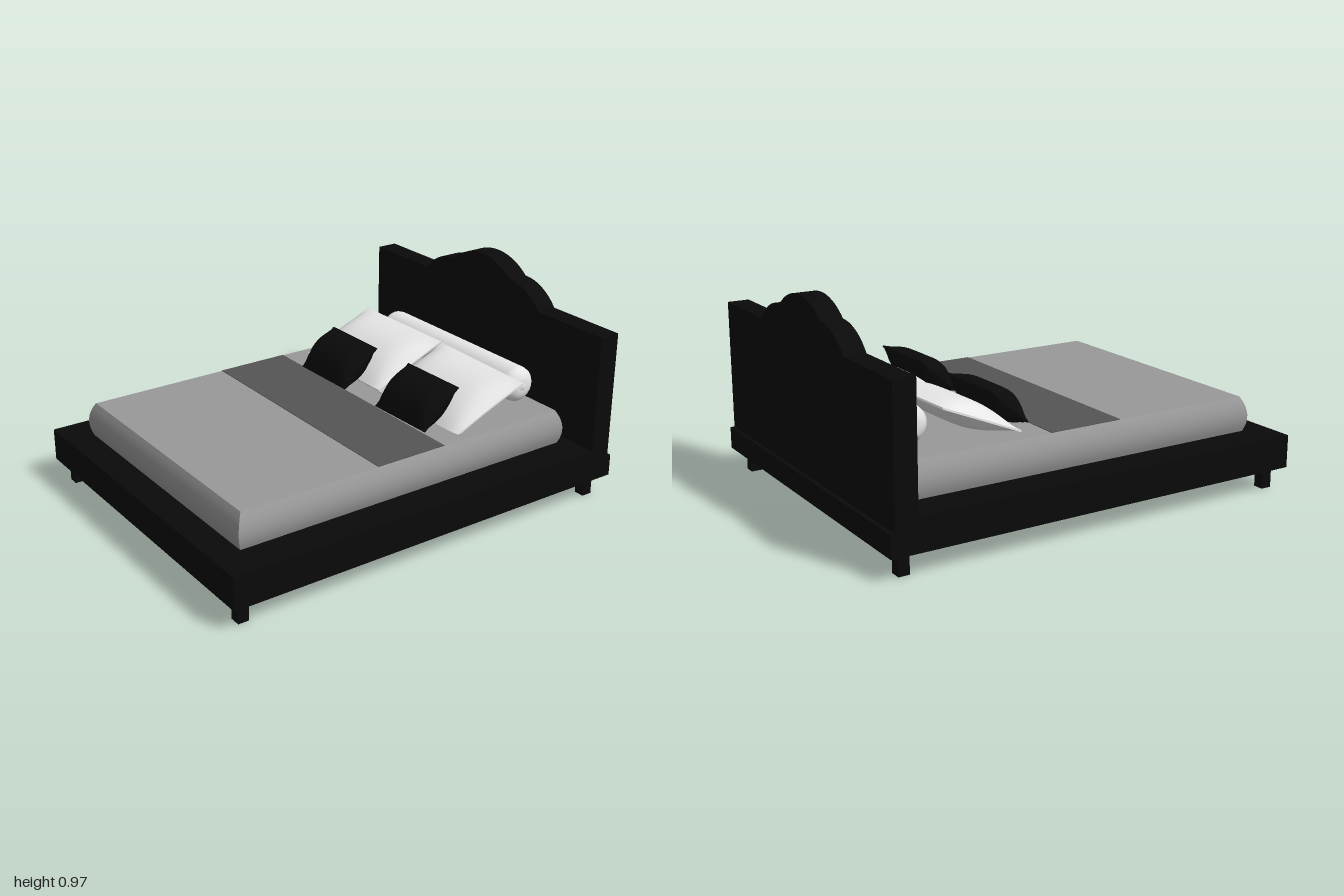
import * as THREE from 'three';

export function createModel() {
  const model = new THREE.Group();
  model.name = 'bed';
  const material = (name, color) => {
    const m = new THREE.MeshStandardMaterial({ color });
    m.name = name;
    return m;
  };
  const black = material('black wood', 0x0a0a0a);
  const grey = material('mattress grey', 0x999999);
  const darkGrey = material('throw grey', 0x555555);
  const white = material('pillow white', 0xe6e6e6);

  const add = (name, geometry, mat, x = 0, y = 0, z = 0) => {
    const mesh = new THREE.Mesh(geometry, mat);
    mesh.name = name;
    mesh.position.set(x, y, z);
    model.add(mesh);
    return mesh;
  };
  const box = (w, h, d) => new THREE.BoxGeometry(w, h, d);

  // Bed frame: full base with a raised deck that stops at the headboard
  add('frameBase', box(1.6, 0.1, 2), black, 0, 0.15, 0);
  add('frameDeck', box(1.6, 0.05, 1.88), black, 0, 0.225, 0.06);
  for (const x of [-0.725, 0.725])
    for (const z of [-0.92, 0.93]) add('leg', box(0.05, 0.1, 0.05), black, x, 0.05, z);

  // Headboard with three scalloped arcs
  const outline = new THREE.Shape();
  const sideAngle = Math.atan2(0.15, 0.2);
  const topAngle = Math.acos(0.2 / 0.304);
  outline.moveTo(-0.8, 0.2);
  outline.lineTo(0.8, 0.2);
  outline.lineTo(0.8, 0.795);
  outline.lineTo(0.4, 0.795);
  outline.absarc(0.2, 0.645, 0.25, sideAngle, Math.PI / 2, false);
  outline.absarc(0, 0.666, 0.304, topAngle, Math.PI - topAngle, false);
  outline.absarc(-0.2, 0.645, 0.25, Math.PI / 2, Math.PI - sideAngle, false);
  outline.lineTo(-0.8, 0.795);
  add('headboard', new THREE.ExtrudeGeometry(outline,
    { depth: 0.1, bevelEnabled: false, curveSegments: 16 }), black, 0, 0, -0.98);

  // Mattress: box with bulging sides and mitred corners
  const mattress = new THREE.BoxGeometry(1.31, 0.16, 1.715, 1, 8, 1);
  const mp = mattress.attributes.position;
  for (let i = 0; i < mp.count; i++) {
    const t = mp.getY(i) / 0.16 + 0.5;
    const inset = 0.028 * ((t - 0.42) / 0.58) ** 2;
    mp.setX(i, mp.getX(i) - Math.sign(mp.getX(i)) * inset);
    mp.setZ(i, mp.getZ(i) - Math.sign(mp.getZ(i)) * inset);
  }
  mattress.computeVertexNormals();
  add('mattress', mattress, grey, 0, 0.33, 0.0275);
  add('throwBlanket', box(1.254, 0.005, 0.35), darkGrey, 0, 0.41, 0.015);

  // Bolster with domed ends and a button on each
  const half = [[0, 0.492], [0.014, 0.492], [0.016, 0.486], [0.022, 0.49],
    [0.045, 0.485], [0.066, 0.473], [0.079, 0.457], [0.083, 0.435]];
  const profile = [...half.map(([r, y]) => [r, -y]), ...half.slice().reverse()]
    .map(([r, y]) => new THREE.Vector2(r, y));
  const bolster = add('bolster', new THREE.LatheGeometry(profile, 32), white, 0.002, 0.494, -0.727);
  bolster.rotation.z = Math.PI / 2;

  // Lens-shaped pillow with a thin seam, leaning back
  const pillow = (name, mat, [w, d, thick, power], [x, y, z], [lean, yaw, roll]) => {
    const g = new THREE.BoxGeometry(w, 2, d, 24, 1, 16);
    const p = g.attributes.position;
    for (let i = 0; i < p.count; i++) {
      const u = p.getX(i) * 2 / w, v = p.getZ(i) * 2 / d;
      const puff = thick * (1 - Math.abs(u) ** power) * (1 - v * v);
      p.setXYZ(i, p.getX(i) * (1 - 0.02 * (1 - v * v)), p.getY(i) * (0.004 + puff), p.getZ(i));
    }
    g.computeVertexNormals();
    const mesh = add(name, g, mat, x, y, z);
    mesh.rotation.set(lean, yaw, roll, 'YXZ');
  };
  const large = [0.565, 0.405, 0.055, 6];
  pillow('leftPillow', white, large, [0.295, 0.487, -0.458], [0.4, -0.01, -0.02]);
  pillow('rightPillow', white, large, [-0.283, 0.493, -0.46], [0.4, 0.025, -0.01]);
  const small = [0.345, 0.25, 0.062, 10];
  pillow('leftCushion', black, small, [0.3, 0.492, -0.264], [0.72, 0.02, 0]);
  pillow('rightCushion', black, small, [-0.28, 0.49, -0.254], [0.72, 0.01, 0]);

  return model;
}
